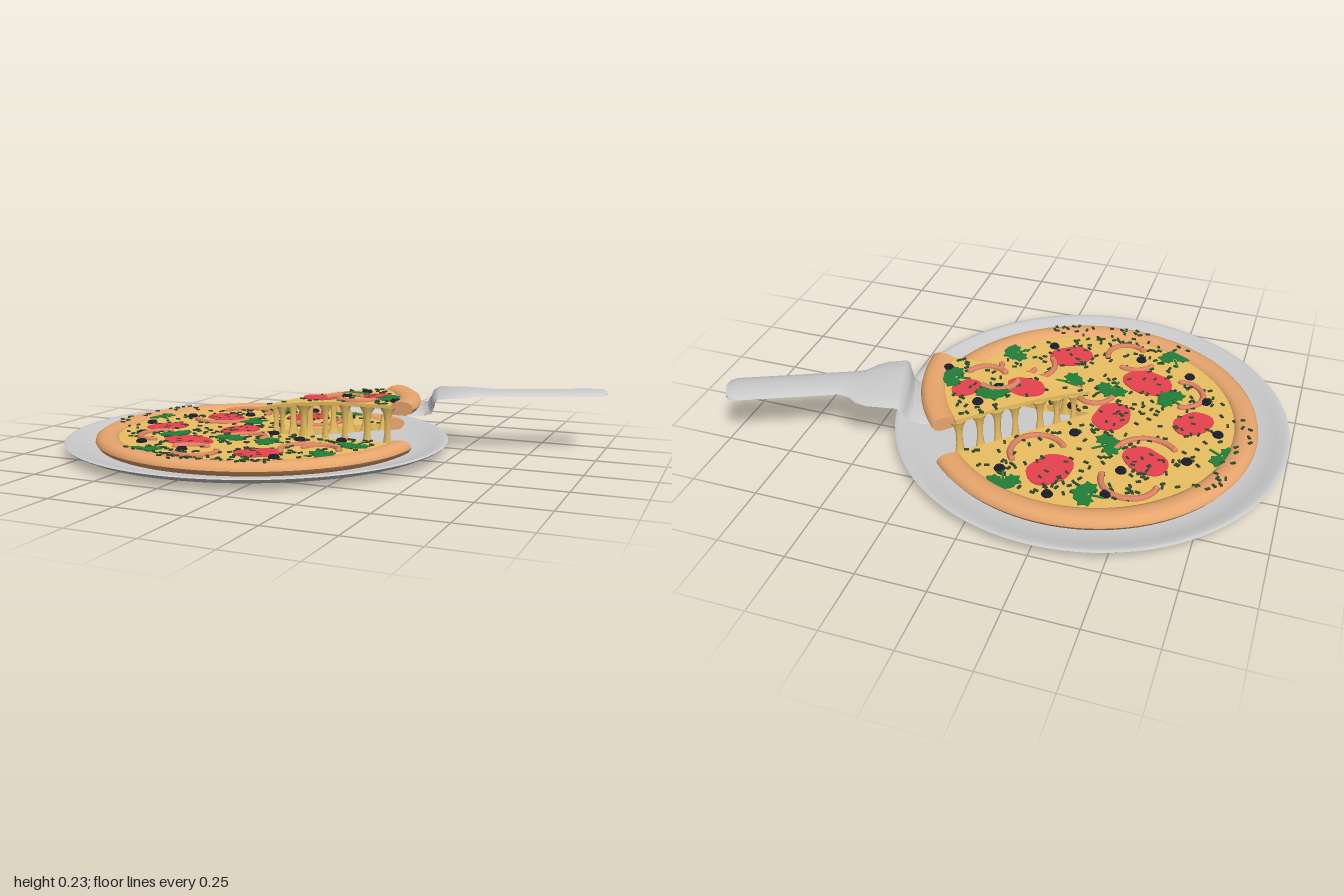
import * as THREE from 'three';
import { mergeGeometries, toCreasedNormals } from 'three/addons/utils/BufferGeometryUtils.js';

const CX = -0.26;                       // centre of the plate
const PX = -0.255;                      // centre of the pizza
const DEG = Math.PI / 180;
const CUT = -44 * DEG;                  // the lifted slice spans CUT..0
const mat = (color) => new THREE.MeshStandardMaterial({ color, side: THREE.DoubleSide });
const V2 = (p) => new THREE.Vector2(p[0], p[1]);

let seed = 7;
const rand = () => (seed = (seed * 16807) % 2147483647) / 2147483647;

// The slice is raised, with its tip drooping
const liftAt = (r) => 0.142 - 0.042 * Math.max(0, 1 - r / 0.42) ** 2;
const CHEESE_Y = 0.054;

// Height of the pizza's surface at a point
function surfaceY(x, z) {
  const r = Math.hypot(x - PX, z), a = Math.atan2(z, x - PX);
  const base = r < 0.54 ? CHEESE_Y : 0.07 - 8 * (r - 0.585) ** 2;
  return base + (a < 0 && a > CUT ? liftAt(r) : 0);
}

function merged(name, geos, material) {
  const m = new THREE.Mesh(mergeGeometries(geos.map((g) => (g.index ? g.toNonIndexed() : g))), material);
  m.name = name;
  return m;
}

// Closed profile swept between two angles (x toward z), with flat cut faces
function sector(name, profile, a0, a1, material) {
  const pts = profile.map(V2);
  const segs = Math.ceil((a1 - a0) / (4 * DEG));
  const lathe = new THREE.LatheGeometry([...pts, pts[0]], segs, Math.PI / 2 - a1, a1 - a0);
  const geos = [toCreasedNormals(lathe, 0.8)];
  for (const a of [a0, a1]) geos.push(new THREE.ShapeGeometry(new THREE.Shape(pts)).rotateY(-a));
  const m = merged(name, geos, material);
  m.position.x = PX;
  return m;
}

// Thin slab cut from a polar outline, lying flat
function polarSlab(n, radius, depth) {
  const pts = [];
  for (let i = 0; i < n; i++) {
    const t = (i / n) * Math.PI * 2, r = radius(i, t);
    pts.push(new THREE.Vector2(r * Math.cos(t), r * Math.sin(t)));
  }
  return new THREE.ExtrudeGeometry(new THREE.Shape(pts), { depth, bevelEnabled: false }).rotateX(-Math.PI / 2);
}

// Set a topping on the surface
function put(geo, x, z, up = 0) {
  return geo.translate(x, surfaceY(x, z) + up, z);
}

function makeServer(material) {
  // Stations: back edge x, z; front edge x, z; height
  const st = [
    [0.06, -0.17, 0.09, -0.10, 0.157], [0.22, -0.35, 0.35, -0.11, 0.157],
    [0.275, -0.37, 0.375, -0.13, 0.157], [0.305, -0.38, 0.4, -0.115, 0.166],
    [0.32, -0.39, 0.412, -0.10, 0.19], [0.327, -0.395, 0.418, -0.095, 0.212],
    [0.35, -0.4, 0.438, -0.102, 0.228], [0.46, -0.422, 0.50, -0.134, 0.23],
    [0.505, -0.415, 0.53, -0.165, 0.23], [0.54, -0.393, 0.555, -0.21, 0.23],
    [0.58, -0.385, 0.60, -0.236, 0.23], [0.92, -0.537, 0.985, -0.408, 0.23],
    [0.945, -0.538, 1.0, -0.43, 0.23], [0.965, -0.525, 1.0, -0.455, 0.23],
  ];
  // Arched cross-section: fraction from back to front, depth below the crown
  const section = [[0, 0.015], [0.06, 0.009], [0.22, 0.003], [0.5, 0], [0.78, 0.003], [0.94, 0.009], [1, 0.015],
    [0.96, 0.016], [0.78, 0.012], [0.5, 0.01], [0.22, 0.012], [0.04, 0.016]];
  const N = section.length, pos = [], idx = [];
  st.forEach(([xb, zb, xf, zf, y], i) => {
    const p = st[Math.max(i - 1, 0)], q = st[Math.min(i + 1, st.length - 1)];
    const dx = (q[0] + q[2] - p[0] - p[2]) / 2, dz = (q[1] + q[3] - p[1] - p[3]) / 2, dy = q[4] - p[4];
    const h = Math.hypot(dx, dz), l = Math.hypot(h, dy);
    for (const [s, d] of section) {
      pos.push(xb + (xf - xb) * s + (dy * dx * d) / h / l, y - (h * d) / l, zb + (zf - zb) * s + (dy * dz * d) / h / l);
    }
    if (i === st.length - 1) return;
    for (let j = 0; j < N; j++) {
      const a = i * N + j, b = i * N + ((j + 1) % N);
      idx.push(a, b, b + N, a, b + N, a + N);
    }
  });
  // End caps: strips between the upper and lower arcs
  const e = (st.length - 1) * N;
  for (let j = 0; j < N / 2; j++) {
    const k = (N - j) % N, k1 = N - j - 1;
    idx.push(k, k1, j + 1, k, j + 1, j, e + k, e + j + 1, e + k1, e + k, e + j, e + j + 1);
  }
  const g = new THREE.BufferGeometry();
  g.setAttribute('position', new THREE.Float32BufferAttribute(pos, 3));
  g.setIndex(idx);
  const m = new THREE.Mesh(toCreasedNormals(g, 0.8), material);
  m.name = 'pizzaServer';
  return m;
}

export function createModel() {
  const group = new THREE.Group();
  const grey = mat(0xcccccc), crustMat = mat(0xe8a66d), cheeseMat = mat(0xeac062);

  // Plate
  const plateProfile = [[0, 0], [0.57, 0], [0.64, 0.006], [0.7, 0.02], [0.735, 0.036], [0.74, 0.041],
    [0.735, 0.044], [0.72, 0.043], [0.69, 0.034], [0.655, 0.024], [0.62, 0.021], [0, 0.021]];
  const plate = new THREE.Mesh(toCreasedNormals(new THREE.LatheGeometry(plateProfile.map(V2), 96), 0.9), grey);
  plate.name = 'plate';
  plate.position.x = CX;
  group.add(plate);

  // Pizza and lifted slice, swept over two ranges
  const crust = [[0.535, 0.022], [0.55, 0.018], [0.6, 0.018], [0.618, 0.026], [0.629, 0.042], [0.625, 0.056],
    [0.61, 0.066], [0.585, 0.07], [0.56, 0.066], [0.545, 0.059], [0.538, 0.05]];
  const radii = [0, 0.08, 0.16, 0.24, 0.32, 0.4, 0.545];
  const filling = (bottom) => [...radii.map((r) => [r, bottom]), ...radii.slice().reverse().map((r) => [r, CHEESE_Y])];
  const raise = (pts) => pts.map(([r, y]) => [r, y + liftAt(r)]);
  const round = 2 * Math.PI + CUT;
  group.add(
    sector('crust', crust, 0.008, round - 0.016, crustMat),
    sector('cheese', filling(0.025), 0, round, cheeseMat),
    sector('sliceCrust', raise(crust), CUT + 0.02, -0.015, crustMat),
    sector('sliceCheese', raise(filling(0.04)), CUT, 0, cheeseMat),
  );

  // Melted cheese strands along both cuts
  const strands = [];
  const cuts = [[-0.012, [0.1, 0.19, 0.28, 0.36, 0.45, 0.53]],
    [CUT + 0.012, [0.07, 0.14, 0.21, 0.31, 0.38, 0.45, 0.53]]];
  for (const [a, places] of cuts) {
    for (const r of places) {
      const y0 = 0.03, h = 0.043 + liftAt(r) - y0, w = 0.95 + 0.4 * rand();
      const prof = [[0.022, 0], [0.014, 0.15], [0.01, 0.4], [0.01, 0.65], [0.014, 0.85], [0.026, 1]]
        .map(([x, y]) => new THREE.Vector2(x * w, y * h));
      const g = new THREE.LatheGeometry(prof, 8).scale(1, 1, 0.5).rotateY(-a);
      strands.push(g.translate(PX + r * Math.cos(a), y0, r * Math.sin(a)));
    }
  }
  group.add(merged('cheeseStrands', strands, cheeseMat));

  // Salami pieces: x, z, radius, turn
  const salami = [[-0.21, -0.37, 0.082, 1.1], [-0.52, -0.22, 0.078, -0.5], [-0.34, 0, 0.078, 1.4],
    [-0.64, 0.05, 0.072, 0.9], [-0.42, 0.26, 0.088, -0.3], [-0.08, 0.35, 0.078, 0.6],
    [-0.03, -0.1, 0.066, 0], [0.17, -0.18, 0.052, 1]];
  group.add(merged('salami', salami.map(([x, z, r, t]) => put(
    polarSlab(28, (i, a) => r * (1 + 0.15 * Math.cos(2 * a) + 0.03 * Math.sin(5 * a)), 0.004).rotateY(t), x, z)),
  mat(0xe8424e)));

  // Pepper strips: x, z, radius, start and sweep in degrees
  const strips = [[-0.49, -0.34, 0.1, 190, 170], [-0.14, -0.29, 0.1, -40, 180], [-0.52, -0.21, 0.12, 15, 120],
    [-0.24, 0.13, 0.07, 190, 180], [-0.56, 0.22, 0.085, 80, 180], [0.06, 0.24, 0.1, 140, 120],
    [0.1, 0.22, 0.07, 190, 160], [-0.3, 0.42, 0.08, -20, 150], [-0.33, 0.42, 0.09, 210, 80],
    [0.08, -0.08, 0.075, 180, 120], [0.12, -0.1, 0.08, 20, 110]];
  const stripGeos = [];
  for (const [x, z, R, s, len] of strips) {
    stripGeos.push(put(new THREE.TorusGeometry(R, 0.012, 8, 20, len * DEG)
      .rotateX(Math.PI / 2).rotateY(-s * DEG), x, z, 0.001));
    for (const a of [s * DEG, (s + len) * DEG]) {
      const ball = new THREE.SphereGeometry(0.013, 8, 6).translate(R * Math.cos(a), 0, R * Math.sin(a));
      stripGeos.push(put(ball, x, z, 0.001));
    }
  }
  group.add(merged('pepperStrips', stripGeos, mat(0xdd8463)));

  // Olive rings
  const olives = [[-0.43, -0.44], [-0.24, -0.5], [-0.04, -0.42], [-0.45, -0.3], [-0.66, -0.18], [-0.235, -0.14],
    [-0.74, 0.01], [-0.66, 0.2], [-0.57, 0.35], [-0.36, 0.41], [0.005, 0.4], [-0.04, 0.085], [0.11, 0.04],
    [-0.18, 0.02], [0.1, -0.25], [0.28, -0.08], [0.06, -0.14]];
  group.add(merged('olives', olives.map(([x, z]) => put(
    new THREE.TorusGeometry(0.012, 0.009, 6, 14).rotateX(Math.PI / 2), x, z, 0.003)), mat(0x1c1d2b)));

  // Parsley leaves: three jagged lobes and a short stem
  const leaves = [[-0.38, -0.46], [-0.07, -0.47], [-0.36, -0.18], [-0.54, 0.17], [-0.3, 0.18], [-0.12, 0.17],
    [-0.49, 0.45], [0.13, 0.31], [-0.77, -0.11], [0.19, 0.1], [0.225, -0.13], [0.075, -0.165]];
  const leafGeos = [];
  leaves.forEach(([x, z], i) => {
    const turn = i * 1.9;
    const lobe = () => polarSlab(14, (k, t) => (k % 2 ? 0.024 : 0.034) * (1 + 0.3 * Math.cos(t)), 0.004);
    for (const a of [-1.2, 0, 1.2]) {
      leafGeos.push(put(lobe().translate(0.026, 0, 0).rotateY(a + turn), x, z, 0.003));
    }
    leafGeos.push(put(new THREE.BoxGeometry(0.05, 0.004, 0.008).translate(-0.025, 0, 0).rotateY(turn), x, z, 0.004));
  });
  group.add(merged('parsley', leafGeos, mat(0x217f38)));

  // Chopped herbs scattered over the cheese and parts of the crust
  const herbs = [];
  const sprinkle = (count, r0, r1, a0, a1) => {
    for (let i = 0; i < count; i++) {
      const r = Math.sqrt(r0 * r0 + rand() * (r1 * r1 - r0 * r0)), a = (a0 + rand() * (a1 - a0)) * DEG;
      const g = new THREE.BoxGeometry(0.018, 0.005, 0.009).rotateY(rand() * 6.28);
      herbs.push(put(g, PX + r * Math.cos(a), r * Math.sin(a), r < 0.535 ? 0.003 : 0.002));
    }
  };
  sprinkle(400, 0.03, 0.52, 0, 360);
  sprinkle(45, 0.5, 0.61, 60, 118);
  sprinkle(20, 0.54, 0.61, 165, 215);
  group.add(merged('herbs', herbs, mat(0x2c4a2c)));

  group.add(makeServer(grey));
  return group;
}
